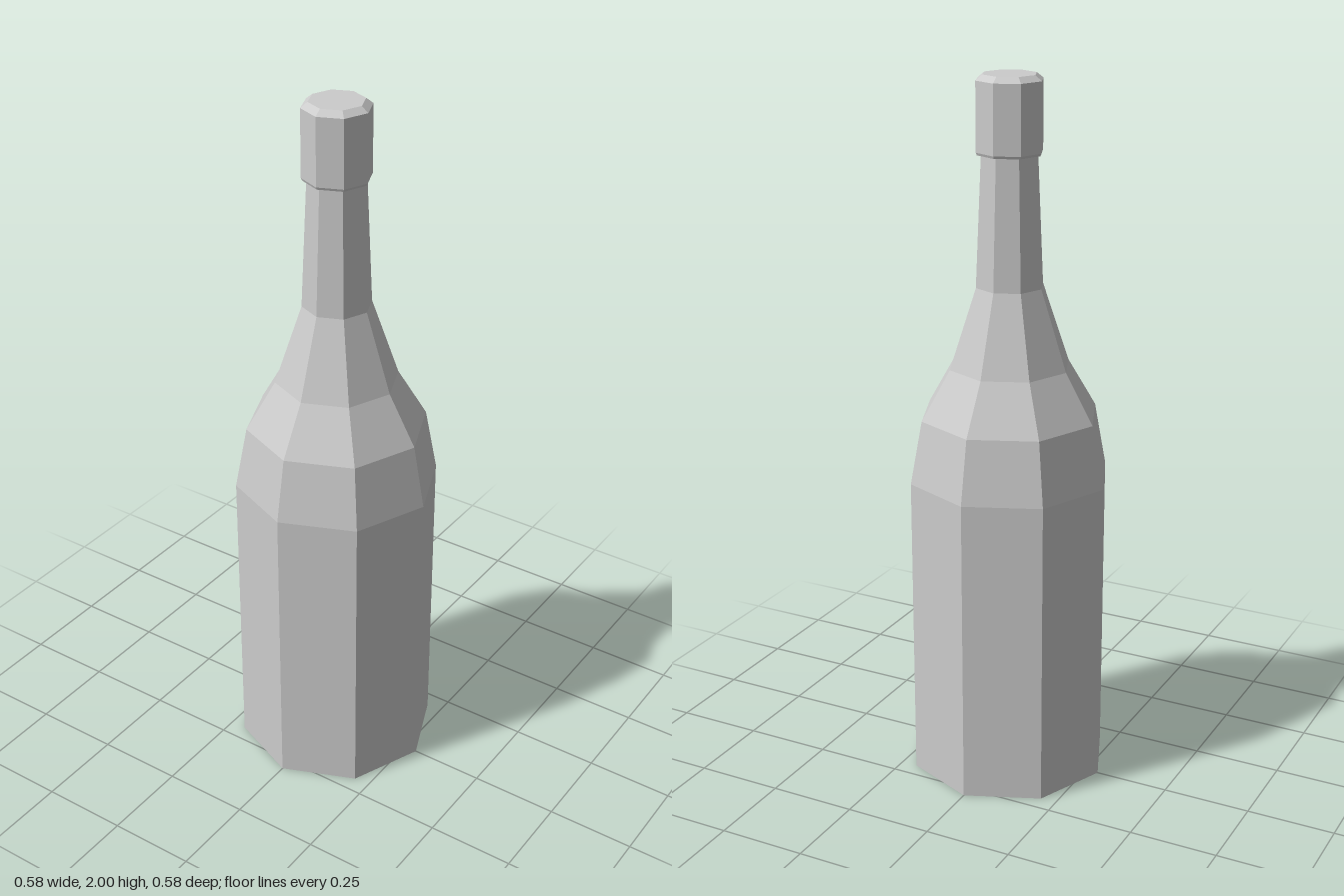
import * as THREE from 'three';

const SIDES = 8;
const material = new THREE.MeshStandardMaterial({ color: 0xcccccc, flatShading: true });

// Faceted turned part from [radius, height] pairs, listed bottom to top
function turned(name, profile) {
  const points = profile.map(([r, y]) => new THREE.Vector2(r, y));
  const geometry = new THREE.LatheGeometry(points, SIDES).toNonIndexed();
  geometry.computeVertexNormals();
  const mesh = new THREE.Mesh(geometry, material);
  mesh.name = name;
  return mesh;
}

export function createModel() {
  const bottle = new THREE.Group();
  bottle.name = 'bottle';

  // Base, straight body, rounded shoulder and tapering neck
  bottle.add(turned('bottleBody', [
    [0, 0], [0.288, 0], [0.288, 0.885], [0.254, 1.065],
    [0.172, 1.205], [0.096, 1.43], [0.08, 1.79],
  ]));

  // Cap with an overhanging rim and a bevelled top
  bottle.add(turned('cap', [
    [0, 1.79], [0.091, 1.79], [0.094, 1.797], [0.094, 1.985], [0.075, 2], [0, 2],
  ]));

  return bottle;
}
